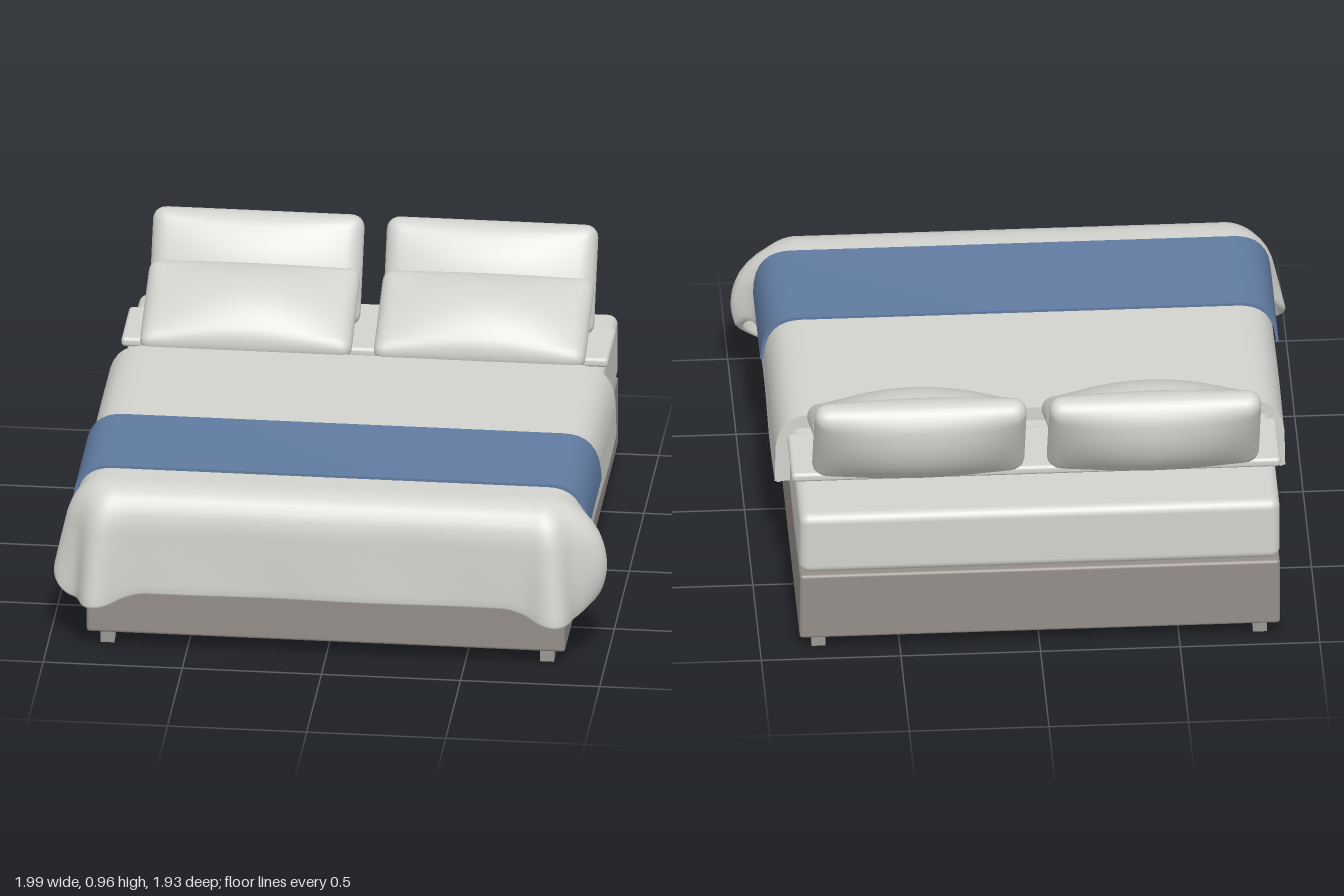
import * as THREE from 'three';
import { mergeVertices, toCreasedNormals } from 'three/addons/utils/BufferGeometryUtils.js';
import { RoundedBoxGeometry } from 'three/addons/geometries/RoundedBoxGeometry.js';

// Rounded-over edge of the bedding: [outward offset, height]
const EDGE = [[0, 0.632], [0.025, 0.63], [0.05, 0.624], [0.075, 0.612], [0.095, 0.595],
  [0.112, 0.57], [0.124, 0.54], [0.131, 0.5]];
const HALF_X = 0.78;
const CORNER = { x: 0.76, z: 0.75, r: 0.02 };
const BACK_Z = -0.37;

const { lerp, smoothstep, clamp } = THREE.MathUtils;
const bump = (a, centre, width) => Math.exp(-(((a - centre) / width) ** 2));

// Cushion: subdivided box with rounded edges and swollen faces
function pillowGeometry(w, h, d, frontBulge, backBulge) {
  const g = new THREE.BoxGeometry(w, h, d, 44, 26, 8);
  const pos = g.attributes.position, r = d / 2 * 0.98;
  const inner = new THREE.Vector3(w / 2 - r, h / 2 - r, d / 2 - r);
  const low = inner.clone().negate();
  const p = new THREE.Vector3(), q = new THREE.Vector3();
  for (let i = 0; i < pos.count; i++) {
    p.fromBufferAttribute(pos, i);
    q.copy(p).clamp(low, inner);
    p.sub(q).setLength(r).add(q);
    const u = clamp(p.x / (w / 2), -1, 1), v = clamp(p.y / (h / 2), -1, 1);
    const swell = (1 - u * u) * (1 - v * v);
    p.z *= 1 + ((p.z > 0 ? frontBulge : backBulge) / (d / 2) - 1) * swell;
    pos.setXYZ(i, p.x, p.y, p.z);
  }
  g.deleteAttribute('uv');
  g.deleteAttribute('normal');
  const merged = mergeVertices(g, 1e-5);
  merged.computeVertexNormals();
  return merged;
}

// Band of cloth bent over the bed from side to side
function archGeometry(outer, inner, hem, depth) {
  const half = off => [...EDGE.map(([o, y]) => [HALF_X + o + off, y + off]), [HALF_X + 0.134 + off, hem]];
  const over = off => {
    const right = half(off);
    return [...right.map(([x, y]) => [-x, y]).reverse(), ...right];
  };
  const points = [...over(outer), ...over(inner).reverse()].map(([x, y]) => new THREE.Vector2(x, y));
  const g = new THREE.ExtrudeGeometry(new THREE.Shape(points), { depth, bevelEnabled: false });
  return toCreasedNormals(g, 0.6);
}

// U-shaped outline of the blanket: right side, front corners, left side.
// Each entry holds a point, its outward direction and the angle-like corner position a.
function blanketOutline() {
  const half = [], H = Math.PI / 2;
  for (let i = 0; i < 60; i++) {
    const z = lerp(BACK_Z, CORNER.z, i / 60);
    half.push({ x: HALF_X, z, nx: 1, nz: 0, a: (z - CORNER.z) / 0.15 });
  }
  for (let i = 0; i < 28; i++) {
    const a = H * i / 28, nx = Math.cos(a), nz = Math.sin(a);
    half.push({ x: CORNER.x + nx * CORNER.r, z: CORNER.z + nz * CORNER.r, nx, nz, a });
  }
  for (let i = 0; i < 36; i++) {
    const x = CORNER.x * (1 - i / 36);
    half.push({ x, z: CORNER.z + CORNER.r, nx: 0, nz: 1, a: H + (CORNER.x - x) / 0.15 });
  }
  const middle = { x: 0, z: CORNER.z + CORNER.r, nx: 0, nz: 1, a: H + CORNER.x / 0.15 };
  return [...half, middle, ...half.map(p => ({ ...p, x: -p.x, nx: -p.nx })).reverse()];
}

// Blanket lofted from its outline, flaring and sagging at the front corners
function blanketGeometry() {
  const outline = blanketOutline(), columns = outline.length;
  const positions = [], index = [];
  const rowsAt = hem => {
    const rows = EDGE.slice();
    for (let k = 1; k <= 9; k++) rows.push([0.131 + 0.004 * k / 9, lerp(0.5, hem + 0.014, k / 9)]);
    rows.push([0.13, hem + 0.004], [0.12, hem], [0.11, hem + 0.004], [0.105, hem + 0.016]);
    rows.push([0.103, lerp(hem, 0.5, 0.4)], [0.1, lerp(hem, 0.5, 0.8)]);
    return rows;
  };
  const cols = outline.map(o => {
    const hem = 0.35 - 0.155 * smoothstep(o.a, -0.35, 0.6) + 0.04 * smoothstep(o.a, 1.2, 2.4);
    const sx = 0, sz = Math.min(o.z, 0.4);
    const col = [[sx, 0.632, sz], [lerp(sx, o.x, 0.94), 0.632, lerp(sz, o.z, 0.94)]];
    for (const [out, y] of rowsAt(hem)) {
      const t = clamp((0.62 - y) / 0.42, 0, 1);
      const sideFold = 0.09 * bump(o.a, 0.15, 0.42) * (o.nx >= 0 ? Math.sin(Math.PI * 0.9 * t) : t);
      const frontFold = 0.075 * bump(o.a, 1.2, 0.4) * t;
      const ripple = 0.004 * t * Math.sin(o.x * 9 + o.z * 7 + y * 5);
      const d = out + sideFold + frontFold + ripple;
      col.push([o.x + o.nx * d, y, o.z + o.nz * d]);
    }
    return col;
  });
  const rows = cols[0].length;
  for (const col of cols) for (const p of col) positions.push(...p);
  for (let j = 0; j < columns - 1; j++) {
    for (let i = 0; i < rows - 1; i++) {
      const a = j * rows + i, b = a + rows;
      index.push(a, b, a + 1, b, b + 1, a + 1);
    }
  }
  const g = new THREE.BufferGeometry();
  g.setAttribute('position', new THREE.Float32BufferAttribute(positions, 3));
  g.setIndex(index);
  g.computeVertexNormals();
  return g;
}

export function createModel() {
  const bed = new THREE.Group();
  bed.name = 'bed';
  const material = (name, color, side = THREE.FrontSide) => {
    const m = new THREE.MeshStandardMaterial({ color, side });
    m.name = name;
    return m;
  };
  const linen = material('linen', 0xd2d2ce, THREE.DoubleSide);
  const upholstery = material('upholstery', 0x948d88);
  const legGrey = material('legGrey', 0x9a9793);
  const blue = material('blueCloth', 0x607ba0);

  const add = (name, geometry, mat, x = 0, y = 0, z = 0) => {
    const mesh = new THREE.Mesh(geometry, mat);
    mesh.name = name;
    mesh.position.set(x, y, z);
    bed.add(mesh);
    return mesh;
  };

  // Base, legs and mattress
  add('base', new RoundedBoxGeometry(1.72, 0.265, 1.815, 3, 0.012), upholstery, 0, 0.1925, -0.0525);
  for (const x of [-0.79, 0.79]) {
    for (const z of [-0.89, 0.78]) {
      add('leg', new THREE.BoxGeometry(0.05, 0.065, 0.05), legGrey, x, 0.0325, z);
    }
  }
  add('mattress', new RoundedBoxGeometry(1.72, 0.245, 1.815, 5, 0.035), linen, 0, 0.4525, -0.0525);

  // Bedding
  add('blanket', blanketGeometry(), linen);
  add('blanketBackEdge', archGeometry(0, -0.055, 0.355, 0.02), linen, 0, 0, BACK_Z);
  add('runner', archGeometry(0.014, 0.004, 0.475, 0.445), blue, 0, 0, 0.253);
  add('foldedSheet', new RoundedBoxGeometry(1.75, 0.036, 0.28, 4, 0.014), linen, 0, 0.599, -0.6);

  // Pillows, a leaning one and a lying one on each side
  const leaning = pillowGeometry(0.76, 0.4, 0.095, 0.1, 0.125);
  const lying = pillowGeometry(0.76, 0.4, 0.08, 0.115, 0.1);
  for (const x of [-0.42, 0.42]) {
    add('backPillow', leaning, linen, x, 0.78, -0.77).rotation.x = -0.46;
    add('frontPillow', lying, linen, x, 0.71, -0.547).rotation.x = -1.14;
  }
  return bed;
}
